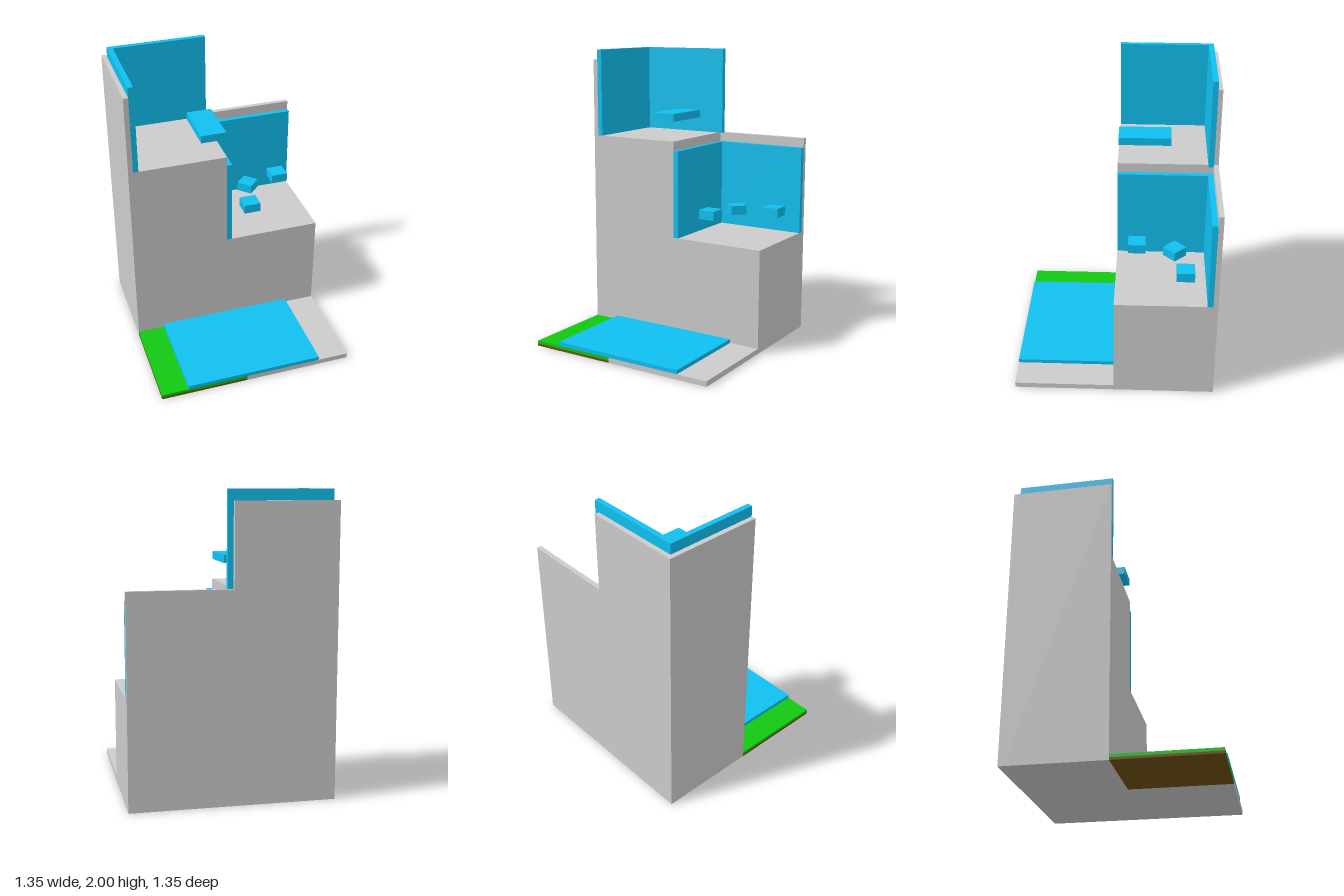
import * as THREE from 'three';

const GREY = 0xcccccc, CYAN = 0x10c0f0, GREEN = 0x10c810, BROWN = 0x705010;
const S = 0.675;   // half width and depth of the plot
const W = 0.642;   // inner face of the grey outer walls
const P = 0.606;   // inner face of the coloured wall panels
const F1 = 0.715, F2 = 1.39, TOP = 1.93;   // terrace floors and tall wall top

export function createModel() {
  const model = new THREE.Group();
  const materials = {};
  const material = (color) => (materials[color] ??= new THREE.MeshStandardMaterial({ color, flatShading: true }));

  const add = (name, geometry, color) => {
    const mesh = new THREE.Mesh(geometry, material(color));
    mesh.name = name;
    model.add(mesh);
    return mesh;
  };
  // Box given by its [min, max] range on each axis
  const box = (name, color, [x0, x1], [y0, y1], [z0, z1]) => {
    const mesh = add(name, new THREE.BoxGeometry(x1 - x0, y1 - y0, z1 - z0), color);
    mesh.position.set((x0 + x1) / 2, (y0 + y1) / 2, (z0 + z1) / 2);
    return mesh;
  };
  // Stepped outline extruded along z
  const steps = (name, xLeft, tall, low, z0, z1) => {
    const shape = new THREE.Shape([[xLeft, 0], [S, 0], [S, low], [0, low], [0, tall], [xLeft, tall]]
      .map(([x, y]) => new THREE.Vector2(x, y)));
    const geometry = new THREE.ExtrudeGeometry(shape, { depth: z1 - z0, bevelEnabled: false });
    add(name, geometry.translate(0, 0, z0), GREY);
  };

  // Stepped building with its back and side walls
  steps('terraceBlock', -W, F2, F1, -W, 0);
  steps('backWall', -S, TOP, F2, -S, -W);
  box('sideWall', GREY, [-S, -W], [0, TOP], [-W, 0]);

  // Coloured panels lining both terraces
  box('upperBackPanel', CYAN, [-W, 0.035], [F2, 2], [-W, -P]);
  box('upperSidePanel', CYAN, [-W, -P], [F2, 2], [-P, 0]);
  box('lowerBackPanel', CYAN, [0, S], [F1, 1.325], [-W, -P]);
  box('lowerSidePanel', CYAN, [0, 0.037], [F1, 1.325], [-P, 0]);

  // Floating slab over the upper terrace
  box('upperSlab', CYAN, [-0.176, -0.003], [1.525, 1.578], [-0.355, -0.005]);

  // Floating blocks over the lower terrace: centre x, centre z, turn
  [[0.54, -0.462, 0], [0.216, -0.139, 0], [0.285, -0.393, Math.PI / 4]].forEach(([x, z, turn], i) => {
    const block = add(`floatingBlock${i + 1}`, new THREE.BoxGeometry(0.118, 0.064, 0.118), CYAN);
    if (turn) block.scale.set(0.94, 1, 0.94);
    block.position.set(x, 0.885, z);
    block.rotation.y = turn;
  });

  // Forecourt: paving, lawn on soil, and a raised mat
  box('paving', GREY, [-0.07, S], [0, 0.036], [0, S]);
  box('soil', BROWN, [-S, -0.07], [0, 0.016], [0, S]);
  box('lawn', GREEN, [-S, -0.07], [0.016, 0.036], [0, S]);
  box('forecourtMat', CYAN, [-0.488, 0.46], [0.036, 0.063], [0, S]);

  return model;
}
